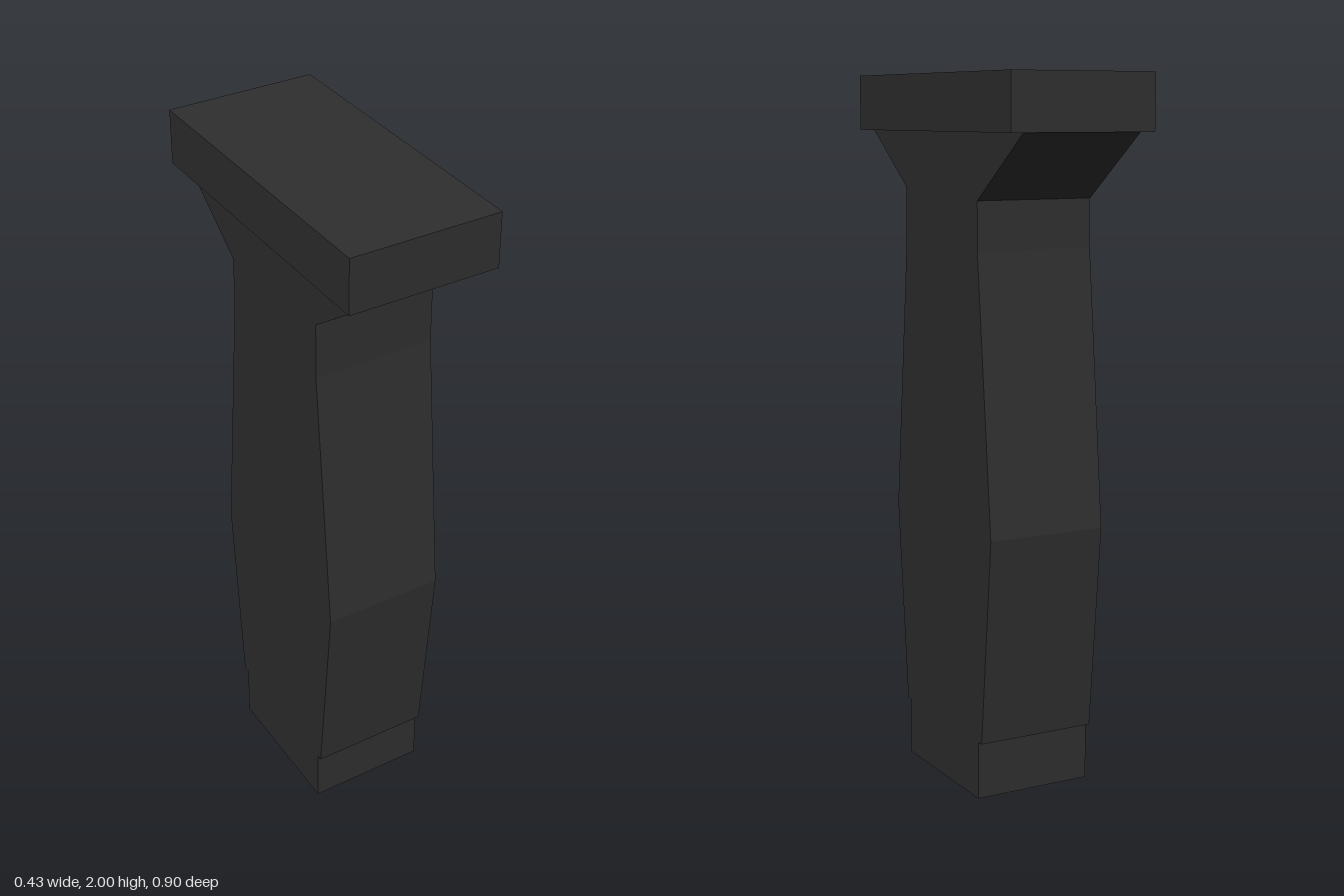
import * as THREE from 'three';

export function createModel() {
  const model = new THREE.Group();
  model.name = 'foregrip';
  const black = new THREE.MeshStandardMaterial({ color: 0x2f2f2f });
  black.name = 'matte black';

  // Top mounting plate
  const plate = new THREE.Mesh(new THREE.BoxGeometry(0.43, 0.155, 0.905), black);
  plate.name = 'mountingPlate';
  plate.position.y = 1.9225;
  model.add(plate);

  // Side profiles as [z, y], extruded across the width
  const width = 0.35;
  const addProfile = (name, points) => {
    const shape = new THREE.Shape(points.map(([z, y]) => new THREE.Vector2(z, y)));
    const geometry = new THREE.ExtrudeGeometry(shape, { depth: width, bevelEnabled: false });
    geometry.translate(0, 0, -width / 2).rotateY(-Math.PI / 2);
    const mesh = new THREE.Mesh(geometry, black);
    mesh.name = name;
    model.add(mesh);
  };

  // Swelling handle with flared neck
  addProfile('handle', [
    [-0.217, 0.165], [0.249, 0.165], [0.305, 0.755], [0.232, 1.53], [0.232, 1.688],
    [0.445, 1.845], [-0.445, 1.845], [-0.198, 1.665], [-0.198, 1.53], [-0.272, 0.755],
  ]);

  // Slightly recessed end cap
  addProfile('endCap', [[-0.198, 0], [0.232, 0], [0.232, 0.165], [-0.198, 0.165]]);

  return model;
}
